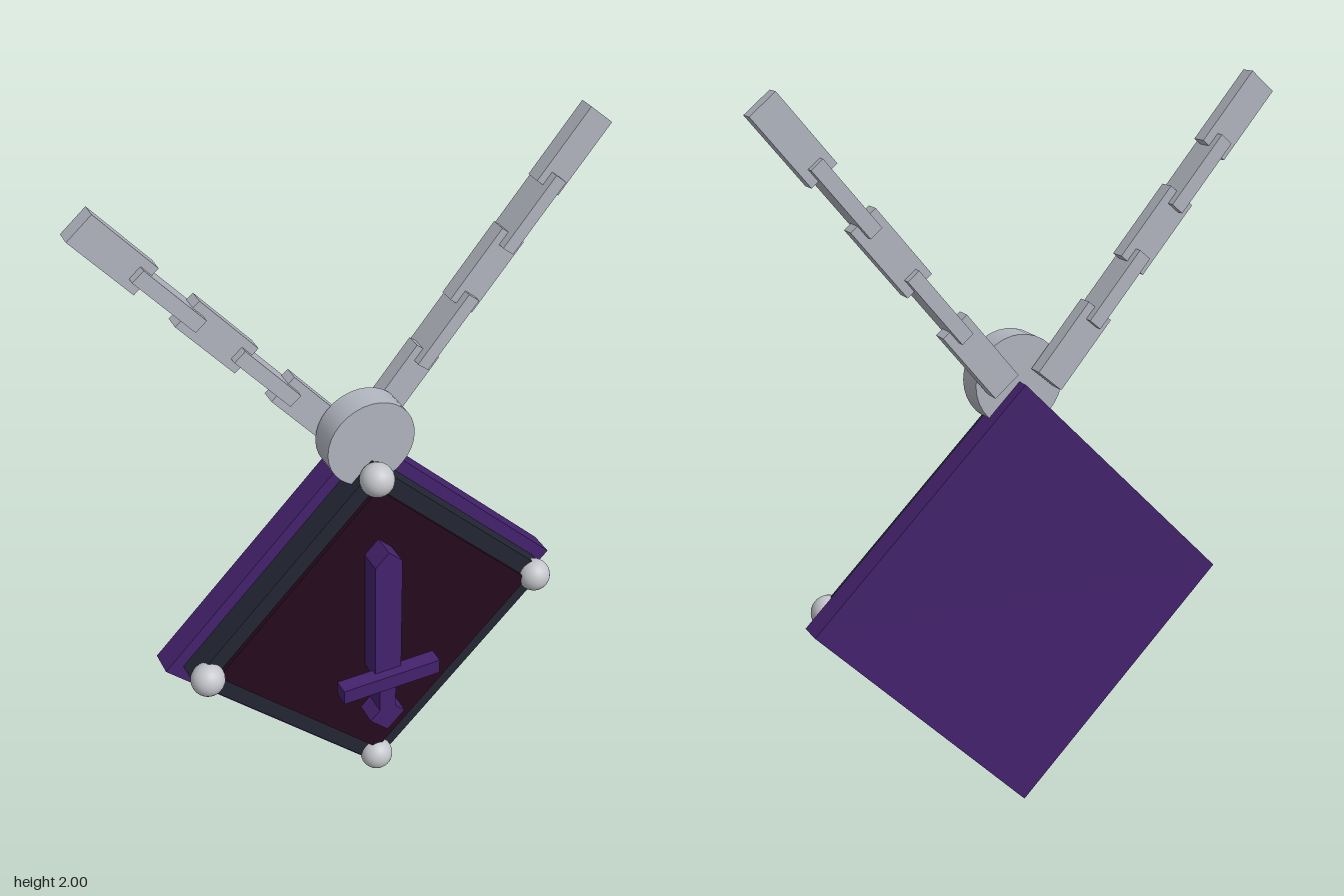
import * as THREE from 'three';

const mat = (name, color) => {
  const m = new THREE.MeshStandardMaterial({ color });
  m.name = name;
  return m;
};

export function createModel() {
  const root = new THREE.Group();
  root.name = 'swordPendant';
  const purple = mat('purple', 0x44226e);
  const slate = mat('dark slate', 0x232634);
  const plum = mat('dark plum', 0x260b1e);
  const steel = mat('steel', 0xb2b6c0);
  const silver = mat('silver', 0xc4c5ca);
  const CY = 0.61;

  const add = (name, geo, material, x, y, z, parent = root) => {
    const m = new THREE.Mesh(geo, material);
    m.name = name;
    m.position.set(x, y, z);
    parent.add(m);
    return m;
  };
  // box given by its z range
  const slab = (name, w, h, z0, z1, material, x, y, parent) =>
    add(name, new THREE.BoxGeometry(w, h, z1 - z0), material, x, y, (z0 + z1) / 2, parent);
  // square slab standing on a corner, given by half its diagonal
  const diamond = (name, half, z0, z1, material, y, parent) => {
    const m = slab(name, half * Math.SQRT2, half * Math.SQRT2, z0, z1, material, 0, y, parent);
    m.rotation.z = Math.PI / 4;
    return m;
  };

  // layered diamond plaque
  diamond('backPlate', 0.606, -0.105, -0.032, purple, CY);
  diamond('frame', 0.555, -0.032, 0.04, slate, CY);
  diamond('panel', 0.485, 0.035, 0.053, plum, CY);

  // corner studs
  const stud = new THREE.SphereGeometry(0.048, 24, 16);
  for (const [x, y] of [[1, 0], [-1, 0], [0, 1], [0, -1]]) {
    add('cornerStud', stud, silver, x * 0.513, CY + y * 0.513, 0.045);
  }

  // raised sword, point up
  const sword = new THREE.Group();
  sword.name = 'sword';
  root.add(sword);
  slab('blade', 0.082, 0.405, 0.05, 0.12, purple, 0, 0.6825, sword);
  diamond('bladeTip', 0.041, 0.05, 0.12, purple, 0.886, sword);
  slab('guard', 0.302, 0.048, 0.103, 0.148, purple, 0, 0.475, sword);
  slab('grip', 0.05, 0.13, 0.05, 0.12, purple, 0, 0.39, sword);
  diamond('pommel', 0.055, 0.05, 0.12, purple, 0.318, sword);

  // round hanger
  const disc = add('hangerDisc', new THREE.CylinderGeometry(0.127, 0.127, 0.08, 32), steel, 0, 1.217, -0.028);
  disc.rotation.x = Math.PI / 2;

  // two chains of overlapping links, every second one turned edgewise
  const angle = THREE.MathUtils.degToRad(50);
  const flat = new THREE.BoxGeometry(0.228, 0.087, 0.044);
  const edge = new THREE.BoxGeometry(0.228, 0.04, 0.088);
  for (const side of [1, -1]) {
    const chain = new THREE.Group();
    chain.name = side > 0 ? 'leftChain' : 'rightChain';
    root.add(chain);
    for (let i = 0; i < 5; i++) {
      const d = 0.114 + i * 0.188;
      const link = add('chainLink', i % 2 ? edge : flat, steel,
        side * (0.063 + d * Math.cos(angle)), 1.222 + d * Math.sin(angle), -0.1, chain);
      link.rotation.z = side * angle;
    }
  }
  return root;
}
